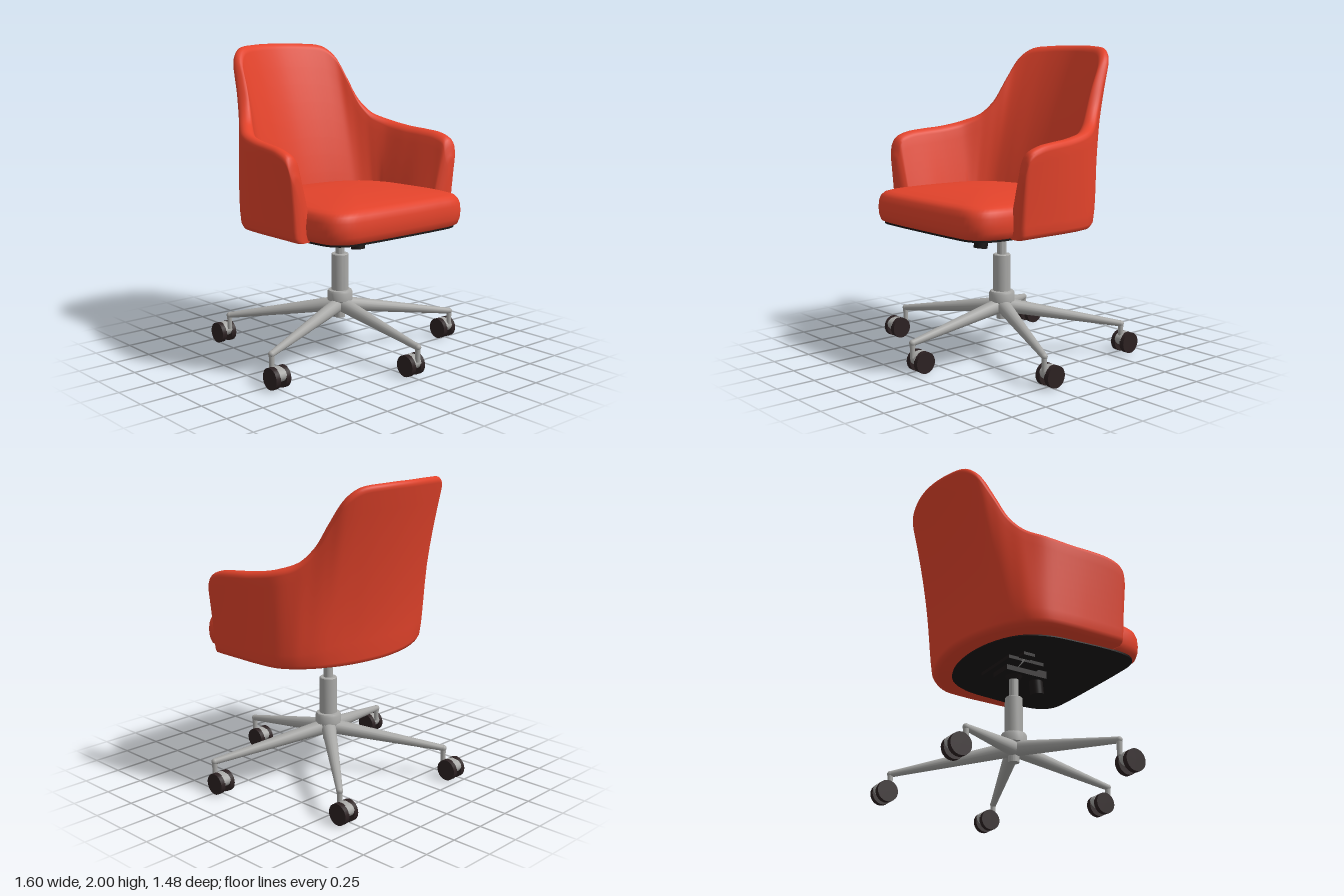
import * as THREE from 'three';
import { toCreasedNormals } from 'three/addons/utils/BufferGeometryUtils.js';

const V = (x, y, z) => new THREE.Vector3(x, y, z);
const { lerp, smoothstep } = THREE.MathUtils;
const mat = (name, color) => {
  const m = new THREE.MeshStandardMaterial({ color });
  m.name = name;
  return m;
};

// Skin closed rings of equal length and close both ends
function loft(rings) {
  const n = rings[0].length, pos = [], idx = [];
  rings.forEach(r => r.forEach(p => pos.push(p.x, p.y, p.z)));
  for (let j = 0; j < rings.length - 1; j++)
    for (let i = 0; i < n; i++) {
      const k = (i + 1) % n, a = j * n + i, b = j * n + k;
      idx.push(a, b, b + n, a, b + n, a + n);
    }
  [0, rings.length - 1].forEach(j => {
    const c = rings[j].reduce((s, p) => s.add(p), V(0, 0, 0)).divideScalar(n);
    const ci = pos.length / 3;
    pos.push(c.x, c.y, c.z);
    for (let i = 0; i < n; i++) {
      const a = j * n + i, b = j * n + (i + 1) % n;
      j === 0 ? idx.push(b, a, ci) : idx.push(a, b, ci);
    }
  });
  const g = new THREE.BufferGeometry();
  g.setAttribute('position', new THREE.Float32BufferAttribute(pos, 3));
  g.setIndex(idx);
  g.computeVertexNormals();
  return g;
}

// Tapered round bar between two points
function bar(a, b, ra, rb, seg = 16) {
  const d = b.clone().sub(a);
  const g = new THREE.CylinderGeometry(rb, ra, d.length(), seg);
  g.applyQuaternion(new THREE.Quaternion().setFromUnitVectors(V(0, 1, 0), d.normalize()));
  const m = a.clone().add(b).multiplyScalar(0.5);
  return g.translate(m.x, m.y, m.z);
}

// Wrap-around back and arms: stations of bottom x, z and top x, y, z
function shellGeometry() {
  const half = [
    [0.65, 0.385, 0.69, 1.26, 0.385], [0.655, 0.35, 0.705, 1.385, 0.345],
    [0.657, 0.27, 0.707, 1.425, 0.26], [0.657, 0.14, 0.695, 1.442, 0.13],
    [0.655, 0, 0.675, 1.453, 0], [0.635, -0.165, 0.635, 1.485, -0.18],
    [0.58, -0.25, 0.565, 1.53, -0.30], [0.515, -0.312, 0.507, 1.62, -0.385],
    [0.45, -0.358, 0.462, 1.78, -0.475], [0.385, -0.393, 0.422, 1.92, -0.565],
    [0.305, -0.428, 0.355, 1.978, -0.62], [0.175, -0.463, 0.2, 1.996, -0.675]];
  const flip = half.map(s => [-s[0], s[1], -s[2], s[3], s[4]]);
  const st = [...flip, [0, -0.48, 0, 2, -0.7], ...half.reverse()];
  const low = new THREE.CatmullRomCurve3(st.map(s => V(s[0], 0.874, s[1])));
  const top = new THREE.CatmullRomCurve3(st.map(s => V(s[2], s[3], s[4])));
  const last = st.length - 1, steps = last * 5, rings = [];
  for (let k = 0; k <= steps; k++) {
    const t = k / steps, B = low.getPoint(t), T = top.getPoint(t), tan = low.getTangent(t);
    const inward = V(-tan.z, 0, tan.x).normalize();
    const e = Math.min(t, 1 - t) * last;
    const q = e < 1 ? 0.45 + 0.55 * Math.sqrt(1 - (1 - e) ** 2) : 1;
    // wall is thickest low on the arms and thin along the top of the back
    const back = smoothstep(e, 5, 9);
    const thB = 0.165 + 0.035 * smoothstep(e, 1, 3) - 0.03 * back;
    const thT = 0.085 - 0.018 * back, r = 0.04, h = T.y - B.y;
    // rear corners swell a little above the bottom edge
    const corner = smoothstep(e, 4.5, 6.5) * (1 - smoothstep(e, 7.5, 10.5));
    // section: pairs of depth through the wall and height
    const sec = [[0.2, 0], [0.05, 0.01], [0, 0.035]];
    for (let i = 1; i < 9; i++) sec.push([0, 0.035 + (h - r - 0.035) * i / 9]);
    for (let i = 0; i <= 8; i++) {
      const a = Math.PI * i / 8;
      sec.push([0.5 - 0.5 * Math.cos(a), h - r + r * Math.sin(a)]);
    }
    for (let i = 8; i > 0; i--) sec.push([1, 0.035 + (h - r - 0.035) * i / 9]);
    sec.push([1, 0.035], [0.95, 0.01], [0.8, 0]);
    rings.push(sec.map(([w, y]) => {
      const f = y / h, p = B.clone().lerp(T, Math.pow(f, 1.2 + 0.25 * back));
      p.y = B.y + y;
      const swell = 0.022 * corner * Math.sin(Math.PI * Math.sqrt(f));
      return p.addScaledVector(inward, lerp(thB, thT, f) * (0.5 + (w - 0.5) * q) - swell);
    }));
  }
  return loft(rings);
}

// Plan outline shared by cushion and base board
function seatOutline() {
  const h = [[0.3, 0.637], [0.46, 0.622], [0.54, 0.56], [0.573, 0.42], [0.56, 0.1],
    [0.53, -0.1], [0.43, -0.26], [0.23, -0.36]];
  const pts = [[0, 0.64], ...h, [0, -0.39], ...h.map(([x, z]) => [-x, z]).reverse()];
  return new THREE.CatmullRomCurve3(pts.map(([x, z]) => V(x, 0, z)), true).getPoints(72).slice(0, 72);
}
const seatRing = (s, y) => seatOutline().map(p => V(p.x * s, y, 0.12 + (p.z - 0.12) * s));

export function createModel() {
  const red = mat('red upholstery', 0xe3432b);
  const metal = mat('grey metal', 0xa8a8a6);
  const black = mat('black board and mechanism', 0x1a1616);
  const dark = mat('dark wheel plastic', 0x2c2122);
  const root = new THREE.Group();
  root.name = 'officeChair';
  const add = (name, geo, m, parent = root) => {
    const mesh = new THREE.Mesh(geo, m);
    mesh.name = name;
    parent.add(mesh);
  };

  // Upholstery
  add('backAndArms', shellGeometry(), red);
  const rings = [[0.94, 0.878], [0.975, 0.888], [0.995, 0.925], [1, 0.965], [0.995, 1.01], [0.975, 1.045],
    [0.94, 1.066], [0.88, 1.077], [0.75, 1.09], [0.55, 1.102], [0.3, 1.11], [0.1, 1.113]];
  add('seatCushion', loft(rings.map(([s, y]) => seatRing(s, y))), red);

  // Board under the seat
  const board = loft([seatRing(0.94, 0.866), seatRing(0.94, 0.882)]);
  add('baseBoard', toCreasedNormals(board, 0.6), black);

  // Tilt mechanism and its controls
  const cx = 0.016, cz = -0.008;
  const mech = new THREE.Group();
  mech.name = 'tiltMechanism';
  root.add(mech);
  add('mountPlate', new THREE.BoxGeometry(0.34, 0.025, 0.26).translate(cx, 0.856, -0.02), black, mech);
  add('mechanismBody', new THREE.BoxGeometry(0.16, 0.05, 0.3).translate(cx, 0.835, 0.04), black, mech);
  add('columnSocket', new THREE.CylinderGeometry(0.07, 0.04, 0.05, 24).translate(cx, 0.81, cz), black, mech);
  add('tensionKnob', bar(V(cx, 0.72, 0.17), V(cx, 0.86, 0.155), 0.045, 0.045, 24), black, mech);
  const leverPath = new THREE.CatmullRomCurve3(
    [V(-0.05, 0.85, -0.02), V(-0.17, 0.845, -0.05), V(-0.24, 0.832, -0.09), V(-0.29, 0.815, -0.11)]);
  add('heightLever', new THREE.TubeGeometry(leverPath, 16, 0.007, 8), metal, mech);
  add('leverPaddle', new THREE.BoxGeometry(0.06, 0.02, 0.08).translate(-0.3, 0.808, -0.11), black, mech);

  // Gas column and hub
  const profile = [[0, 0.23], [0.035, 0.23], [0.035, 0.285], [0.06, 0.29], [0.072, 0.345], [0.084, 0.35],
    [0.084, 0.4], [0.076, 0.415], [0.057, 0.418], [0.057, 0.655], [0.052, 0.66], [0.03, 0.66], [0.03, 0.82]];
  const lathe = new THREE.LatheGeometry(profile.map(p => new THREE.Vector2(...p)), 32);
  add('gasColumn', toCreasedNormals(lathe.translate(cx, 0, cz), 0.6), metal);

  // Five legs with twin-wheel casters: leg tip x, z and caster x, z
  [[0.022, 0.715, 0.024, 0.655], [0.75, 0.285, 0.745, 0.232], [0.525, -0.6, 0.527, -0.635],
    [-0.45, -0.61, -0.457, -0.672], [-0.735, 0.235, -0.745, 0.3]].forEach(([x, z, wx, wz]) => {
    const leg = new THREE.Group();
    leg.name = 'legWithCaster';
    root.add(leg);
    add('leg', bar(V(cx, 0.322, cz), V(x, 0.194, z), 0.05, 0.02), metal, leg);
    add('legTip', new THREE.SphereGeometry(0.021, 16, 10).translate(x, 0.194, z), metal, leg);
    add('casterStem', bar(V(x, 0.1, z), V(x, 0.195, z), 0.015, 0.018), metal, leg);
    // flattened housing sits high between the wheels
    const disc = (r, w) => new THREE.CylinderGeometry(r, r, w, 28).rotateZ(Math.PI / 2);
    add('casterHousing', disc(0.065, 0.05).scale(1, 0.7, 1).translate(wx, 0.088, wz), metal, leg);
    for (const s of [-1, 1]) add('casterWheel', disc(0.068, 0.034).translate(wx + s * 0.038, 0.068, wz), dark, leg);
  });
  return root;
}
